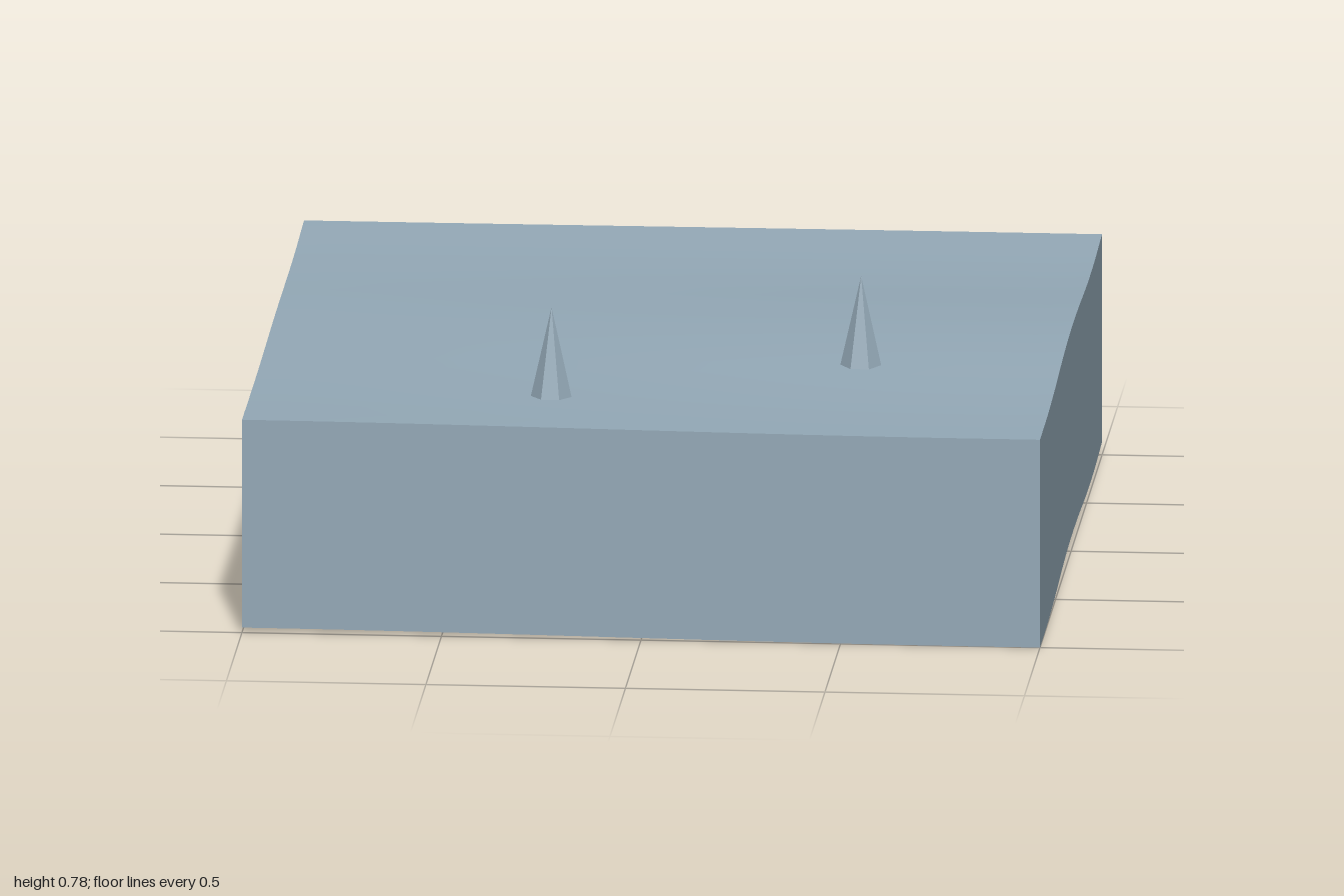
import * as THREE from 'three';

const DEPTH = 0.535; // height of the skirt walls
const SEG = 24;

// Ground height along the two side edges, evenly spaced from z = 1 to z = -1
const curve = (ys) => new THREE.SplineCurve(ys.map((y, i) => new THREE.Vector2(1 - (2 * i) / (ys.length - 1), y)));
const leftEdge = curve([0.535, 0.536, 0.546, 0.562, 0.57, 0.567, 0.558, 0.558, 0.568]);
const rightEdge = curve([0.548, 0.546, 0.546, 0.549, 0.553, 0.554, 0.553, 0.556, 0.565]);

function groundHeight(x, z) {
  const t = (1 - z) / 2;
  const blend = THREE.MathUtils.smoothstep(x, -1, 0.8);
  return THREE.MathUtils.lerp(rightEdge.getPoint(t).y, leftEdge.getPoint(t).y, blend);
}

export function createModel() {
  const group = new THREE.Group();
  const ice = new THREE.MeshStandardMaterial({ color: 0x94a9b7, side: THREE.DoubleSide });
  ice.name = 'blue grey ice';
  const spikeIce = ice;

  const add = (geometry, material, name) => {
    const mesh = new THREE.Mesh(geometry, material);
    mesh.name = name;
    group.add(mesh);
    return mesh;
  };

  // Gently rolling top surface
  const top = new THREE.PlaneGeometry(2, 2, SEG, SEG).rotateX(-Math.PI / 2);
  const p = top.attributes.position;
  for (let i = 0; i < p.count; i++) p.setY(i, groundHeight(p.getX(i), p.getZ(i)));
  top.computeVertexNormals();
  add(top, ice, 'groundSurface');

  // Four skirt walls whose lower edges follow the ground; the bottom is open
  ['frontWall', 'leftWall', 'backWall', 'rightWall'].forEach((name, k) => {
    const wall = new THREE.PlaneGeometry(2, DEPTH, SEG, 1).translate(0, 0, 1).rotateY((k * Math.PI) / 2);
    const w = wall.attributes.position;
    for (let i = 0; i < w.count; i++) {
      w.setY(i, groundHeight(w.getX(i), w.getZ(i)) - (w.getY(i) > 0 ? 0 : DEPTH));
    }
    wall.computeVertexNormals();
    add(wall, ice, name);
  });

  // Seven-sided spikes standing on the ground
  [[-0.25, 0.667, 0.77], [0.5, 0.333, 0.782]].forEach(([x, z, tip]) => {
    const base = groundHeight(x, z) - 0.003;
    const cone = new THREE.ConeGeometry(0.053, tip - base, 7).rotateY(Math.PI).toNonIndexed();
    cone.computeVertexNormals();
    add(cone, spikeIce, 'iceSpike').position.set(x, (tip + base) / 2, z);
  });

  return group;
}
